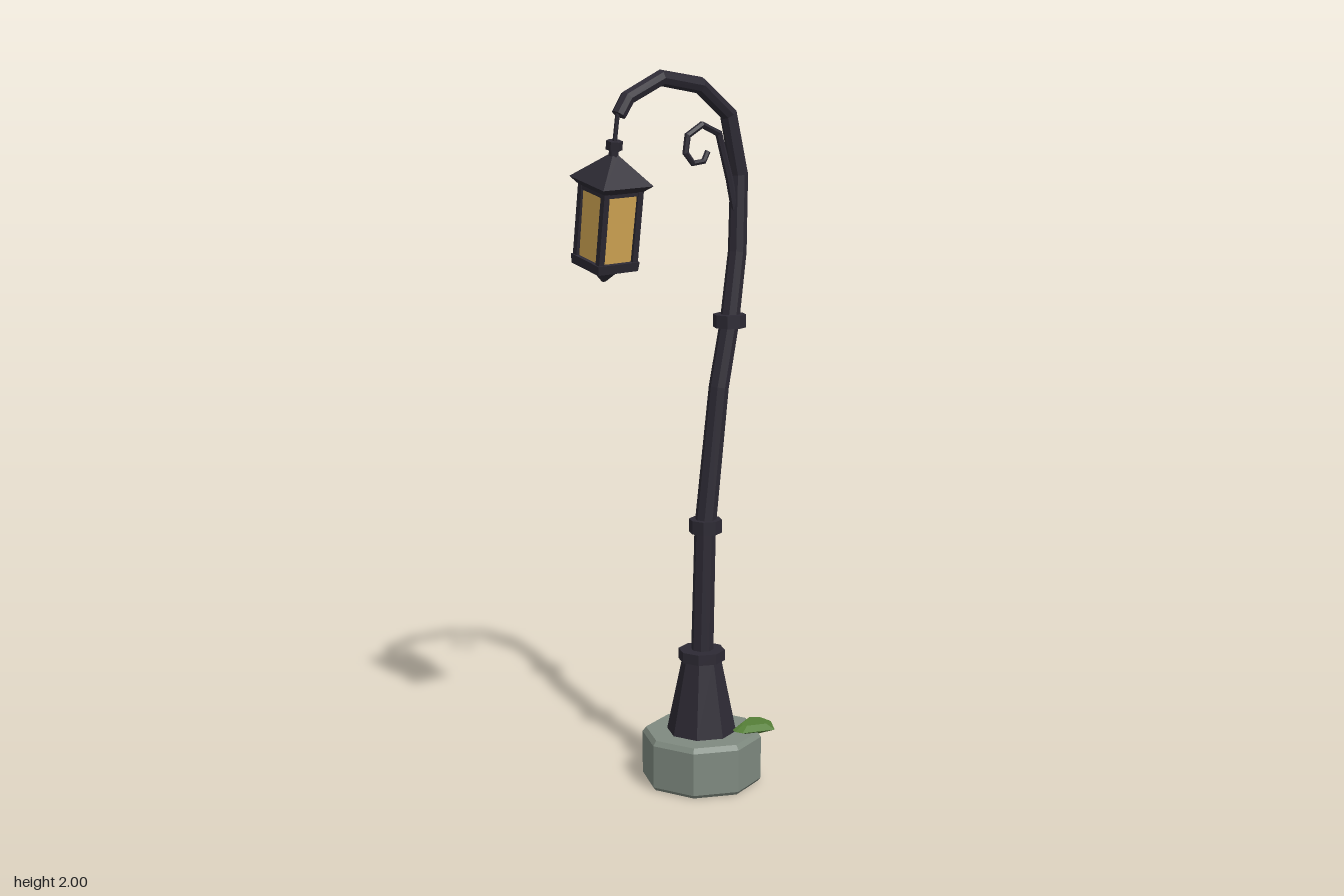
import * as THREE from 'three';
import { ConvexGeometry } from 'three/addons/geometries/ConvexGeometry.js';

const mat = (color) => new THREE.MeshStandardMaterial({ color, flatShading: true });
const V = (p) => new THREE.Vector3(...p);

function add(parent, name, geometry, material, x = 0, y = 0, z = 0) {
  const mesh = new THREE.Mesh(geometry, material);
  mesh.name = name;
  mesh.position.set(x, y, z);
  parent.add(mesh);
  return mesh;
}

// Faceted tube through points, each [x, y, z, radius], with mitred joints and end caps
function sweep(points, sides) {
  const pos = [], index = [];
  const c = points.map(([x, y, z]) => V([x, y, z]));
  const n = c.length;
  c.forEach((p, i) => {
    const before = c[Math.max(i - 1, 0)], after = c[Math.min(i + 1, n - 1)];
    const t = new THREE.Vector3();
    if (i > 0) t.add(p.clone().sub(before).normalize());
    if (i < n - 1) t.add(after.clone().sub(p).normalize());
    t.normalize();
    const u = new THREE.Vector3(0, 0, 1).projectOnPlane(t).normalize();
    const v = t.clone().cross(u);
    for (let j = 0; j < sides; j++) {
      const a = (j / sides) * Math.PI * 2, r = points[i][3];
      const q = p.clone().addScaledVector(u, r * Math.cos(a)).addScaledVector(v, r * Math.sin(a));
      pos.push(q.x, q.y, q.z);
    }
  });
  pos.push(...c[0].toArray(), ...c[n - 1].toArray());
  for (let j = 0; j < sides; j++) {
    const k = (j + 1) % sides, last = (n - 1) * sides;
    for (let i = 0; i < n - 1; i++) {
      const a = i * sides + j, b = i * sides + k;
      index.push(a, b, a + sides, b, b + sides, a + sides);
    }
    index.push(n * sides, k, j, n * sides + 1, last + j, last + k);
  }
  const g = new THREE.BufferGeometry();
  g.setAttribute('position', new THREE.Float32BufferAttribute(pos, 3));
  g.setIndex(index);
  g.computeVertexNormals();
  return g;
}

// Square frustum given by half widths, spanning y0 (bottom) to y1 (top)
function frustum(topHalf, bottomHalf, y0, y1) {
  const g = new THREE.CylinderGeometry(topHalf * Math.SQRT2, bottomHalf * Math.SQRT2, y1 - y0, 4);
  return g.rotateY(Math.PI / 4).translate(0, (y0 + y1) / 2, 0);
}

function createLantern(iron, glass) {
  const lantern = new THREE.Group();
  lantern.name = 'lantern';
  add(lantern, 'lanternKnob', new THREE.CylinderGeometry(0.022, 0.022, 0.024, 6), iron, 0, -0.004, 0);
  add(lantern, 'lanternNeck', new THREE.CylinderGeometry(0.012, 0.014, 0.03, 6), iron, 0, -0.026, 0);
  add(lantern, 'lanternRoof', frustum(0.01, 0.08, -0.1, -0.03), iron);
  add(lantern, 'lanternEaves', frustum(0.08, 0.06, -0.12, -0.1), iron);
  add(lantern, 'lanternGlass', frustum(0.056, 0.053, -0.315, -0.115), glass);
  // Corner posts
  for (const sx of [-1, 1]) for (const sz of [-1, 1])
    add(lantern, 'lanternPost', new THREE.BoxGeometry(0.017, 0.205, 0.017), iron, sx * 0.054, -0.215, sz * 0.054);
  // Top and bottom rails on the four sides
  for (let i = 0; i < 4; i++) {
    const side = new THREE.Group();
    side.name = 'lanternRails';
    side.rotation.y = i * Math.PI / 2;
    add(side, 'topRail', new THREE.BoxGeometry(0.11, 0.014, 0.012), iron, 0, -0.122, 0.055);
    lantern.add(side);
  }
  add(lantern, 'lanternFloor', frustum(0.066, 0.064, -0.335, -0.31), iron);
  add(lantern, 'lanternUnderside', frustum(0.06, 0.03, -0.348, -0.335), iron);
  add(lantern, 'lanternFinial', frustum(0.026, 0.004, -0.376, -0.345), iron);
  return lantern;
}

export function createModel() {
  const model = new THREE.Group();
  model.name = 'streetLamp';
  const iron = mat(0x2d2a34), stone = mat(0x7f8a80), glass = mat(0xdcae58), green = mat(0x557f37);
  const cx = 0.083;

  // Stone plinth with a bevelled rim
  const rim = [[0, 0], [0.162, 0], [0.17, 0.01], [0.17, 0.132], [0.16, 0.146], [0, 0.146]];
  add(model, 'plinth', new THREE.LatheGeometry(rim.map(([r, y]) => new THREE.Vector2(r, y)), 8), stone, cx);

  // Flared foot and collars
  add(model, 'foot', new THREE.CylinderGeometry(0.055, 0.1, 0.22, 8), iron, cx, 0.25, 0);
  for (const [x, y, z, r, h] of [[cx, 0.37, 0, 0.066, 0.03], [0.095, 0.742, 0, 0.046, 0.038], [0.18, 1.312, -0.004, 0.046, 0.036]])
    add(model, 'collar', new THREE.CylinderGeometry(r, r, h, 8), iron, x, y, z);

  // Crooked pole bending over into the arm
  add(model, 'pole', sweep([
    [cx, 0.3, 0, 0.032], [0.094, 0.74, 0, 0.03], [0.14, 1.13, 0, 0.028], [0.18, 1.31, -0.004, 0.027],
    [0.212, 1.5, -0.012, 0.026], [0.223, 1.71, -0.02, 0.025], [0.185, 1.875, -0.02, 0.024],
    [0.08, 1.955, -0.012, 0.023], [-0.055, 1.977, -0.004, 0.022], [-0.165, 1.928, 0, 0.021],
    [-0.193, 1.885, 0, 0.02],
  ], 8), iron);

  // Scroll bracket
  const scroll = [[0.208, 1.6], [0.185, 1.7], [0.147, 1.825], [0.09, 1.85], [0.042, 1.823], [0.035, 1.777],
    [0.06, 1.748], [0.096, 1.752], [0.11, 1.778]];
  add(model, 'scroll', sweep(scroll.map(([x, y], i) => [x, y, -0.014, 0.011 - i * 0.0004]), 6), iron);

  // Hook wire and the swinging lantern
  add(model, 'hook', sweep([[-0.195, 1.89, -0.002, 0.006], [-0.2, 1.8, -0.012, 0.006]], 6), iron);
  const lantern = createLantern(iron, glass);
  lantern.position.set(-0.199, 1.81, -0.012);
  lantern.rotation.set(0.19, 0, 0.03);
  model.add(lantern);

  // Moss clump drooping over the plinth edge
  const outline = [[0.133, 0.092], [0.137, 0.074], [0.228, 0.025], [0.268, 0.05], [0.272, 0.08], [0.235, 0.143], [0.143, 0.113]];
  const moss = [[0.2, 0.128, 0.085], [0.23, 0.13, 0.09]];
  for (const [x, z] of outline) {
    moss.push([x, 0.153, z]);
    moss.push([0.205 + (x - 0.205) * 0.6, 0.167, 0.083 + (z - 0.083) * 0.6]);
  }
  add(model, 'moss', new ConvexGeometry(moss.map(V)), green);

  return model;
}
